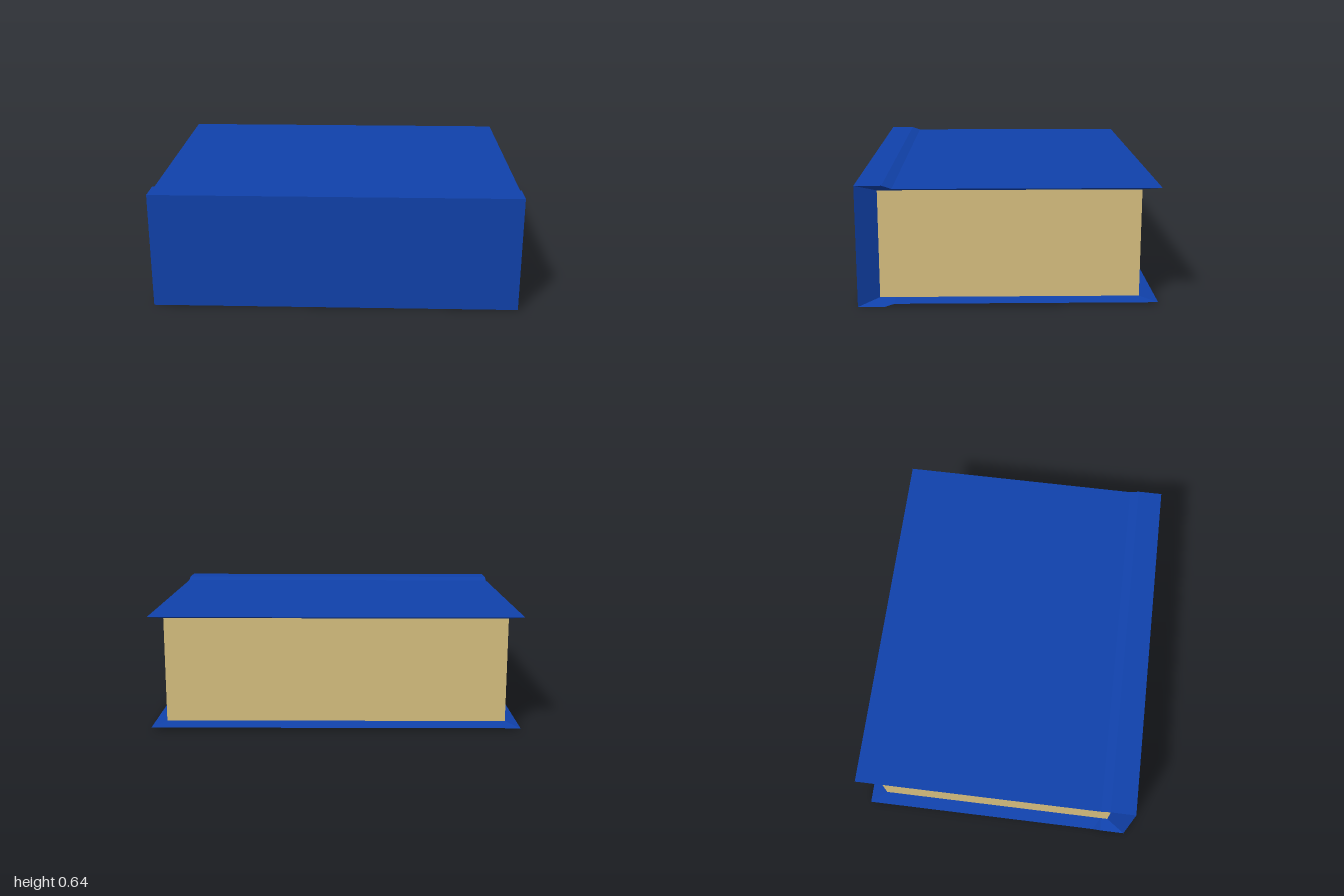
import * as THREE from 'three';

const blue = new THREE.MeshStandardMaterial({ color: 0x1041aa });
blue.name = 'coverBlue';
const tan = new THREE.MeshStandardMaterial({ color: 0xd8c080 });
tan.name = 'paperTan';

const OUT = 1, IN = 0.93; // half widths of the cover and of the page block

// Cover cross-section as [z, y], from the top fore-edge round the spine to the bottom fore-edge
const outer = [[-0.78, 0.625], [0.59, 0.625], [0.64, 0.642], [0.78, 0.642],
  [0.78, 0], [0.64, 0], [0.59, 0.016], [-0.78, 0.016]];
const inner = [[-0.69, 0.603], [0.59, 0.603], [0.63, 0.603], [0.672, 0.603],
  [0.672, 0.029], [0.63, 0.029], [0.59, 0.029], [-0.69, 0.029]];

function coverGeometry() {
  const pos = [];
  const at = (x, [z, y]) => [x, y, z];
  const quad = (a, b, c, d) => pos.push(...a, ...b, ...c, ...a, ...c, ...d);
  for (let i = 0; i < outer.length - 1; i++) {
    const p = outer[i], q = outer[i + 1], pi = inner[i], qi = inner[i + 1];
    // outside skin
    quad(at(-OUT, p), at(-OUT, q), at(OUT, q), at(OUT, p));
    // sloping edges down to the page block at both ends
    quad(at(OUT, p), at(OUT, q), at(IN, qi), at(IN, pi));
    quad(at(-OUT, q), at(-OUT, p), at(-IN, pi), at(-IN, qi));
  }
  // sloping fore-edges of the two boards
  quad(at(-OUT, outer[0]), at(OUT, outer[0]), at(IN, inner[0]), at(-IN, inner[0]));
  quad(at(OUT, outer[7]), at(-OUT, outer[7]), at(-IN, inner[7]), at(IN, inner[7]));
  const g = new THREE.BufferGeometry();
  g.setAttribute('position', new THREE.Float32BufferAttribute(pos, 3));
  g.computeVertexNormals();
  return g;
}

export function createModel() {
  const book = new THREE.Group();
  book.name = 'book';

  const cover = new THREE.Mesh(coverGeometry(), blue);
  cover.name = 'cover';

  // Page block filling the cover
  const pages = new THREE.Mesh(new THREE.BoxGeometry(2 * IN, 0.574, 1.362), tan);
  pages.name = 'pages';
  pages.position.set(0, 0.316, -0.009);

  book.add(cover, pages);
  return book;
}
